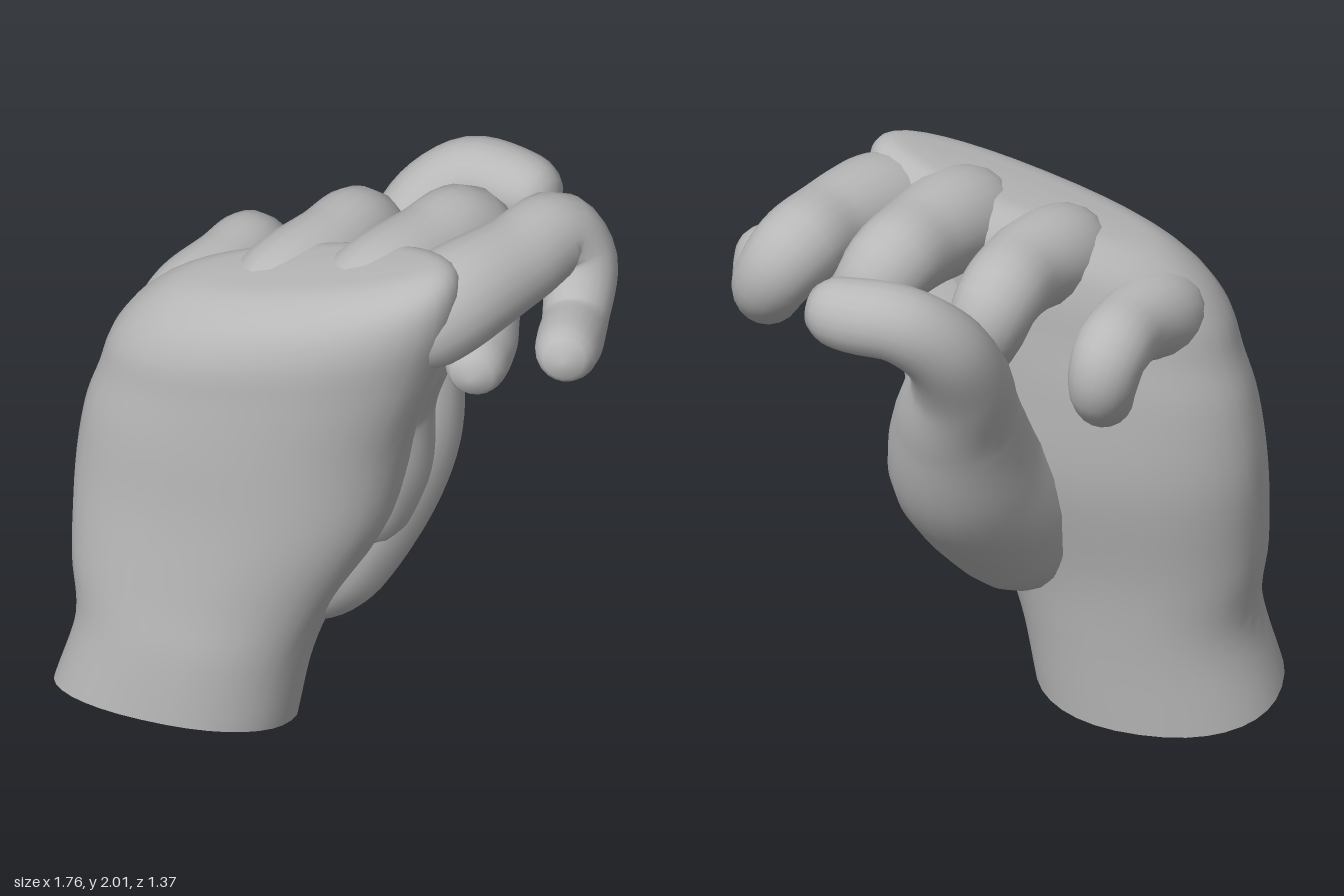
import * as THREE from 'three';
import { mergeVertices } from 'three/addons/utils/BufferGeometryUtils.js';

const skin = new THREE.MeshStandardMaterial({ color: 0xb8b8b8 });
skin.name = 'skin grey';

// Weld seams so that the normals are smooth all round
function smooth(geometry) {
  geometry.deleteAttribute('uv');
  geometry.deleteAttribute('normal');
  const welded = mergeVertices(geometry, 1e-5);
  welded.computeVertexNormals();
  return welded;
}

function spline(rows) {
  return new THREE.CubicInterpolant(rows.map((_, i) => i), rows.flat(), rows[0].length);
}

// Round limb through points [x, y, z, radius], with rounded ends
function limb(name, points, segments = 44, sides = 20) {
  const curve = new THREE.CatmullRomCurve3(points.map(p => new THREE.Vector3(p[0], p[1], p[2])));
  const radii = spline(points.map(p => [p[3]]));
  const geometry = new THREE.TubeGeometry(curve, segments, 1, sides);
  const pos = geometry.attributes.position;
  const length = curve.getLength();
  const v = new THREE.Vector3();
  for (let i = 0; i <= segments; i++) {
    const u = i / segments;
    const centre = curve.getPointAt(u);
    let r = radii.evaluate(curve.getUtoTmapping(u) * (points.length - 1))[0];
    const toEnd = Math.min(u, 1 - u) * length;
    if (toEnd < r) r *= Math.sqrt(Math.max(0, 1 - (1 - toEnd / r) ** 2));
    for (let j = 0; j <= sides; j++) {
      const k = i * (sides + 1) + j;
      v.fromBufferAttribute(pos, k).sub(centre).multiplyScalar(r).add(centre);
      pos.setXYZ(k, v.x, v.y, v.z);
    }
  }
  const mesh = new THREE.Mesh(smooth(geometry), skin);
  mesh.name = name;
  return mesh;
}

// Wrist and palm sections: centre x, y, z, half width, half depth, rise along x, rise along z
const sections = [
  [-0.47, 0.10, 0.39, 0.41, 0.29, 0.03, 0.33],
  [-0.41, 0.38, 0.37, 0.40, 0.29, 0.02, 0.25],
  [-0.38, 0.62, 0.34, 0.46, 0.29, 0.02, 0.15],
  [-0.30, 0.95, 0.29, 0.55, 0.31, 0.05, 0.05],
  [-0.25, 1.25, 0.28, 0.57, 0.31, 0.12, 0],
  [-0.18, 1.48, 0.28, 0.59, 0.30, 0.22, 0],
  [-0.13, 1.66, 0.28, 0.60, 0.29, 0.29, 0],
  [-0.09, 1.79, 0.27, 0.56, 0.25, 0.32, 0],
  [-0.06, 1.87, 0.26, 0.46, 0.16, 0.32, 0],
  [-0.04, 1.89, 0.25, 0.30, 0.05, 0.32, 0],
];

function sectionRing(row, sides) {
  const [cx, cy, cz, a, b, riseX, riseZ] = row;
  const ring = [];
  for (let j = 0; j < sides; j++) {
    const t = (j / sides) * Math.PI * 2;
    const c = Math.cos(t), s = Math.sin(t);
    const lx = a * Math.sign(c) * Math.abs(c) ** 0.9;
    const lz = b * Math.sign(s) * Math.abs(s) ** 0.9;
    ring.push(cx + lx, cy + lx * riseX + lz * riseZ, cz + lz);
  }
  return ring;
}

function palmAndWrist() {
  const sides = 36, rows = 45;
  const body = spline(sections);
  const positions = [], index = [];
  for (let i = 0; i <= rows; i++) {
    positions.push(...sectionRing(body.evaluate((i / rows) * (sections.length - 1)), sides));
  }
  for (let i = 0; i < rows; i++) {
    for (let j = 0; j < sides; j++) {
      const a = i * sides + j, b = i * sides + (j + 1) % sides;
      index.push(a, a + sides, b, b, a + sides, b + sides);
    }
  }
  // Close the knuckle end
  const top = positions.length / 3;
  positions.push(-0.04, 1.89, 0.25);
  for (let j = 0; j < sides; j++) index.push(rows * sides + j, top, rows * sides + (j + 1) % sides);
  const geometry = new THREE.BufferGeometry();
  geometry.setAttribute('position', new THREE.Float32BufferAttribute(positions, 3));
  geometry.setIndex(index);
  geometry.computeVertexNormals();
  const mesh = new THREE.Mesh(geometry, skin);
  mesh.name = 'palmAndWrist';
  return mesh;
}

// Flat slanted face that closes the wrist
function wristEnd() {
  const sides = 36;
  const positions = [...sectionRing(sections[0], sides), ...sections[0].slice(0, 3)];
  const index = [];
  for (let j = 0; j < sides; j++) index.push(sides, j, (j + 1) % sides);
  const geometry = new THREE.BufferGeometry();
  geometry.setAttribute('position', new THREE.Float32BufferAttribute(positions, 3));
  geometry.setIndex(index);
  geometry.computeVertexNormals();
  const mesh = new THREE.Mesh(geometry, skin);
  mesh.name = 'wristEnd';
  return mesh;
}

// Curled fingers, each from knuckle to tip
const fingers = {
  indexFinger: [
    [0.24, 1.70, 0.34, 0.16], [0.40, 1.81, 0.17, 0.18], [0.53, 1.84, -0.08, 0.155],
    [0.60, 1.84, -0.27, 0.145], [0.67, 1.74, -0.29, 0.13], [0.72, 1.62, -0.15, 0.11],
    [0.76, 1.63, 0.0, 0.11], [0.80, 1.67, 0.15, 0.09],
  ],
  middleFinger: [
    [0.06, 1.70, 0.34, 0.16], [0.15, 1.79, 0.17, 0.18], [0.23, 1.81, -0.05, 0.16],
    [0.29, 1.80, -0.23, 0.15], [0.35, 1.69, -0.25, 0.14], [0.41, 1.57, -0.11, 0.12],
    [0.47, 1.57, 0.05, 0.115], [0.52, 1.59, 0.26, 0.09],
  ],
  ringFinger: [
    [-0.24, 1.62, 0.34, 0.15], [-0.18, 1.70, 0.17, 0.17], [-0.11, 1.73, -0.03, 0.15],
    [-0.07, 1.71, -0.21, 0.14], [-0.03, 1.60, -0.23, 0.13], [0.03, 1.48, -0.11, 0.115],
    [0.08, 1.46, 0.02, 0.11], [0.12, 1.47, 0.14, 0.09],
  ],
  littleFinger: [
    [-0.56, 1.46, 0.32, 0.13], [-0.52, 1.53, 0.16, 0.15], [-0.47, 1.56, -0.02, 0.13],
    [-0.44, 1.54, -0.18, 0.125], [-0.42, 1.44, -0.20, 0.115], [-0.40, 1.34, -0.11, 0.10],
    [-0.37, 1.31, 0.0, 0.10], [-0.35, 1.32, 0.1, 0.08],
  ],
};

export function createModel() {
  const hand = new THREE.Group();
  hand.name = 'hand';
  hand.add(palmAndWrist(), wristEnd());
  for (const [name, points] of Object.entries(fingers)) hand.add(limb(name, points));
  // Thumb rising from a full base and leaning over towards the index finger
  hand.add(limb('thumb', [
    [-0.12, 0.50, 0.32, 0.20], [0.0, 0.80, 0.12, 0.26], [0.07, 1.03, -0.08, 0.255],
    [0.06, 1.28, -0.23, 0.21], [0.02, 1.48, -0.36, 0.165], [0.06, 1.66, -0.49, 0.14],
    [0.18, 1.76, -0.555, 0.13], [0.34, 1.77, -0.55, 0.125], [0.50, 1.77, -0.51, 0.10],
  ], 60));
  // Fleshy web joining thumb base and index knuckle
  hand.add(limb('thumbWeb', [
    [0.0, 0.75, 0.22, 0.2], [0.09, 1.05, 0.13, 0.22], [0.12, 1.32, 0.10, 0.2],
    [0.22, 1.56, 0.14, 0.18], [0.34, 1.82, 0.18, 0.14],
  ]));
  return hand;
}
